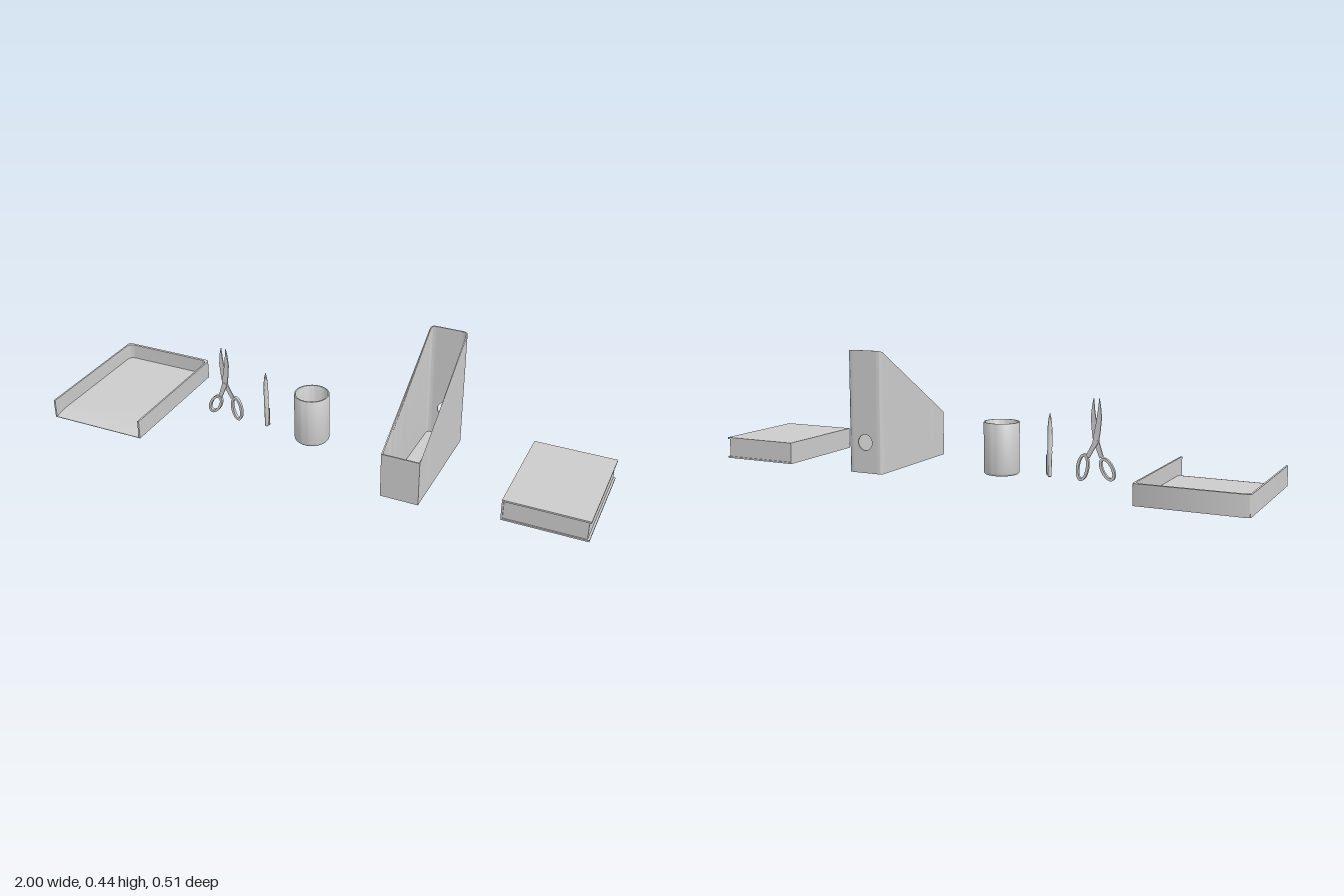
import * as THREE from 'three';
import { toCreasedNormals } from 'three/addons/utils/BufferGeometryUtils.js';

const material = new THREE.MeshStandardMaterial({ color: 0xcccccc, side: THREE.DoubleSide });
const V = (x, y) => new THREE.Vector2(x, y);

function add(parent, name, geometry, x = 0, y = 0, z = 0) {
  const mesh = new THREE.Mesh(geometry, material);
  mesh.name = name;
  mesh.position.set(x, y, z);
  parent.add(mesh);
  return mesh;
}

function group(parent, name, x = 0, y = 0, z = 0) {
  const g = new THREE.Group();
  g.name = name;
  g.position.set(x, y, z);
  parent.add(g);
  return g;
}

const extrude = (shape, depth) => new THREE.ExtrudeGeometry(shape, { depth, bevelEnabled: false, curveSegments: 24 });
const smooth = (geometry) => toCreasedNormals(geometry, 0.6);
const box = (x, y, z) => new THREE.BoxGeometry(x, y, z);

// Half of a plan outline on +x: rounded back corner, then the side towards the front (y of the point is z)
function halfPlan(w, back, front, r, steps) {
  const pts = [];
  for (let i = 0; i <= 8; i++) {
    const a = (i / 8) * Math.PI / 2;
    pts.push(V(w - r + r * Math.sin(a), back + r - r * Math.cos(a)));
  }
  for (let i = 1; i <= steps; i++) pts.push(V(w, back + r + (front - back - r) * i / steps));
  return pts;
}
const mirrored = (pts) => pts.map((p) => V(-p.x, p.y));

// Stands a plan outline upright, rising from y = 0
function standPlan(pts, height) {
  const shape = new THREE.Shape(pts.map((p) => V(p.x, -p.y)));
  return extrude(shape, height).rotateX(-Math.PI / 2);
}

function buildTray(parent) {
  const tray = group(parent, 'letterTray', -0.815, 0, 0);
  const w = 0.185, back = -0.257, front = 0.255;
  const path = (half) => [...half.slice().reverse(), ...mirrored(half)];
  const outer = path(halfPlan(w, back, front, 0.012, 1));
  const inner = path(halfPlan(w - 0.006, back + 0.01, front, 0.022, 1));
  add(tray, 'trayWalls', smooth(standPlan([...outer, ...inner.reverse()], 0.071)));

  // floor curving down to a thin front lip
  const floor = new THREE.Shape();
  floor.moveTo(-front, 0);
  floor.lineTo(-back - 0.004, 0);
  floor.lineTo(-back - 0.004, 0.012);
  floor.lineTo(-0.19, 0.012);
  floor.quadraticCurveTo(-0.23, 0.011, -front, 0.002);
  const g = extrude(floor, 2 * w - 0.004).rotateY(Math.PI / 2);
  add(tray, 'trayFloor', smooth(g), -w + 0.002);
}

// Height of the file's sloping rim at depth z, with softened ends
function rimHeight(z) {
  const soft = (a, b, s) => (a + b + s * Math.hypot(a - b, 0.012)) / 2;
  return soft(soft(0.303 - 0.675 * z, 0.169, 1), 0.443, -1);
}

function buildFile(parent) {
  const file = group(parent, 'magazineFile', 0.3675, 0, 0);
  const w = 0.0675, back = -0.212, front = 0.237, t = 0.004, gap = 0.045, base = 0.006;
  const path = (half) => [...half, ...mirrored(half).reverse()];
  const outer = path([V(gap, back), ...halfPlan(w, back, front, 0.015, 40)]);
  const inner = path([V(gap, back + t), ...halfPlan(w - t, back + t, front - t, 0.011, 40)]);

  // walls, raised to the sloping rim
  const walls = standPlan([...outer, ...inner.reverse()], 1);
  const pos = walls.attributes.position;
  for (let i = 0; i < pos.count; i++) {
    pos.setY(i, pos.getY(i) > 0.5 ? rimHeight(pos.getZ(i)) : base);
  }
  add(file, 'fileWalls', smooth(walls));

  // back panel with a finger hole
  const top = rimHeight(back);
  const panel = new THREE.Shape([V(-gap, base), V(gap, base), V(gap, top), V(-gap, top)]);
  const hole = new THREE.Path();
  hole.absarc(0, 0.115, 0.028, 0, Math.PI * 2, true);
  panel.holes.push(hole);
  add(file, 'fileBackPanel', smooth(extrude(panel, t)), 0, 0, back);

  add(file, 'fileFloor', smooth(standPlan(path(halfPlan(w - 0.001, back + 0.001, front - 0.001, 0.014, 1)), 0.005)), 0, base);
}

function buildCup(parent) {
  const pts = [V(0, 0.005), V(0.054, 0.005), V(0.059, 0.0065), V(0.062, 0.01), V(0.063, 0.015),
    V(0.063, 0.189), V(0.0625, 0.19), V(0.058, 0.19), V(0.0575, 0.189), V(0.0575, 0.014), V(0, 0.012)];
  add(parent, 'penCup', toCreasedNormals(new THREE.LatheGeometry(pts, 48), 0.7), -0.061);
}

function buildPen(parent) {
  const pen = group(parent, 'pen', -0.244, 0, 0);
  const pts = [V(0, 0.01), V(0.005, 0.01), V(0.007, 0.013), V(0.008, 0.09), V(0.0088, 0.091), V(0.0088, 0.1),
    V(0.0085, 0.101), V(0.0085, 0.175), V(0.007, 0.195), V(0.0035, 0.222), V(0.0015, 0.224), V(0.001, 0.231), V(0, 0.232)];
  add(pen, 'penBarrel', toCreasedNormals(new THREE.LatheGeometry(pts, 20), 0.5));
  add(pen, 'penClip', box(0.002, 0.07, 0.005), 0.0115, 0.052);
  add(pen, 'clipMount', box(0.01, 0.006, 0.005), 0.007, 0.02);
}

function buildScissors(parent) {
  const scissors = group(parent, 'scissors', -0.413, 0.147, 0);
  const depth = 0.005;
  // blade with its handle arm crossing to the other side at the pivot
  const blade = (s, armX, z, name) => {
    const pts = [[0.011, 0.146], [0.016, 0.12], [0.02, 0.08], [0.016, 0.035], [0.011, 0], [armX + 0.009, -0.058],
      [armX - 0.004, -0.052], [-0.011, -0.005], [-0.008, 0.02], [-0.001, 0.055], [0.006, 0.1]];
    const shape = new THREE.Shape(pts.map(([x, y]) => V(s * x, y)));
    add(scissors, name, smooth(extrude(shape, depth)), 0, 0, z);
  };
  blade(1, -0.022, 0, 'rightBlade');
  blade(-1, -0.031, -depth, 'leftBlade');

  // finger loops
  const loop = (name, x, y, rx, ry, tilt) => {
    const shape = new THREE.Shape();
    shape.absellipse(0, 0, rx, ry, 0, Math.PI * 2, false, 0);
    const hole = new THREE.Path();
    hole.absellipse(0, 0, rx - 0.009, ry - 0.01, 0, Math.PI * 2, true, 0);
    shape.holes.push(hole);
    add(scissors, name, smooth(extrude(shape, 0.012)), x, y, -0.006).rotation.z = tilt;
  };
  loop('thumbLoop', -0.042, -0.093, 0.023, 0.042, -0.5);
  loop('fingerLoop', 0.047, -0.093, 0.022, 0.048, 0.15);

  add(scissors, 'pivotScrew', new THREE.CylinderGeometry(0.007, 0.007, 0.013, 20).rotateX(Math.PI / 2));
}

function buildBook(parent) {
  const book = group(parent, 'book', 0.85, 0, 0.006);
  const cover = box(0.29, 0.006, 0.388);
  add(book, 'bottomCover', cover, 0, 0.008);
  add(book, 'topCover', cover, 0, 0.08);
  add(book, 'spine', box(0.006, 0.078, 0.388), -0.142, 0.044);
  add(book, 'pageBlock', box(0.277, 0.068, 0.38), -0.0005, 0.044);
}

export function createModel() {
  const model = new THREE.Group();
  model.name = 'deskSet';
  [buildTray, buildScissors, buildPen, buildCup, buildFile, buildBook].forEach((build) => build(model));
  return model;
}
